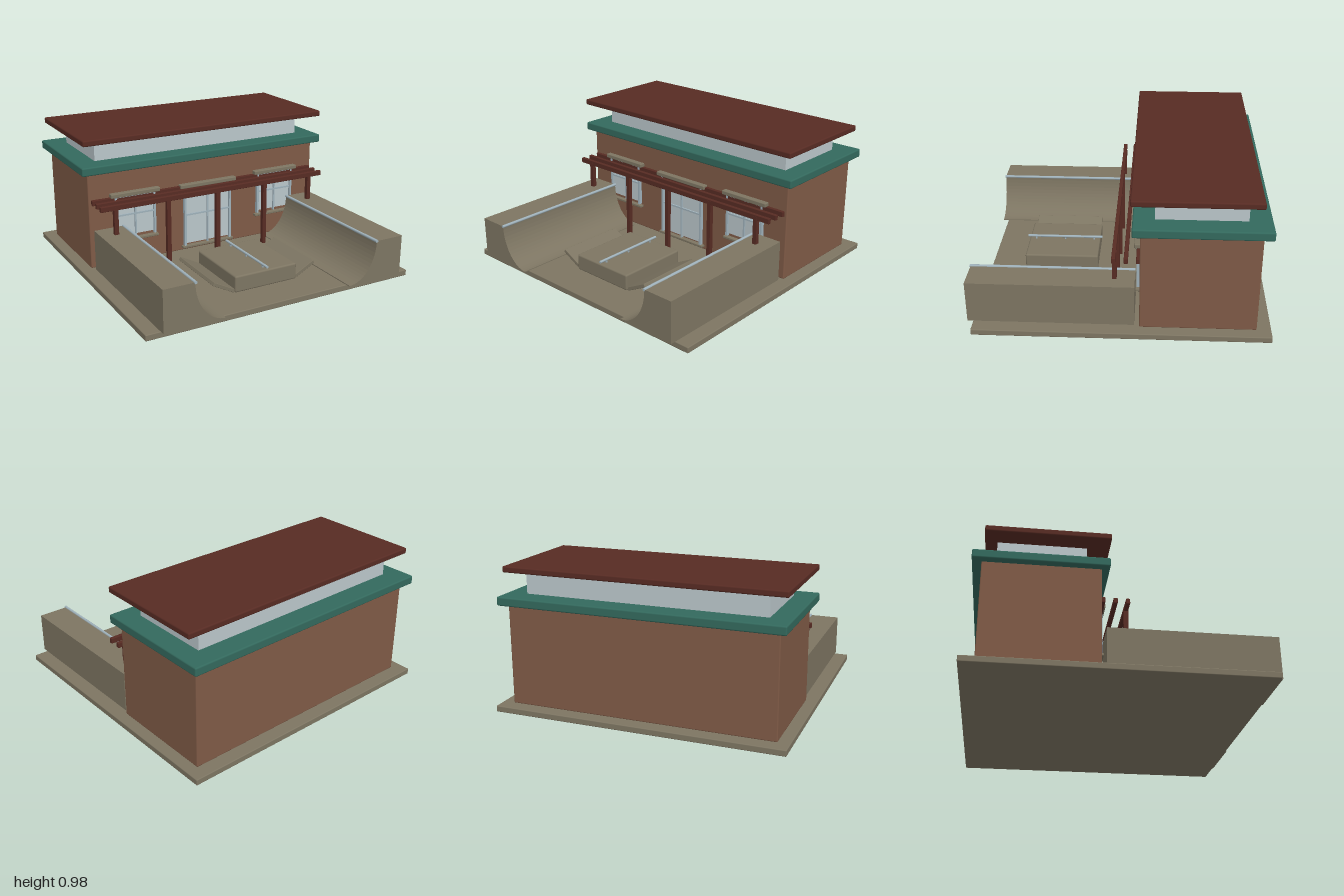
import * as THREE from 'three';
import { RoundedBoxGeometry } from 'three/addons/geometries/RoundedBoxGeometry.js';

const material = (name, color, options = {}) => {
  const m = new THREE.MeshStandardMaterial({ color, ...options });
  m.name = name;
  return m;
};

export function createModel() {
  const concrete = material('concrete', 0x7d7562);
  const brick = material('brick', 0x7f5a46);
  const teal = material('teal trim', 0x33695d);
  const redwood = material('dark red', 0x572b23);
  const glass = material('glass', 0xbac6ca);
  const metal = material('pale metal', 0x9fb1ba);

  const model = new THREE.Group();
  model.name = 'skateClubhouse';

  const add = (name, geometry, mat, parent = model) => {
    const mesh = new THREE.Mesh(geometry, mat);
    mesh.name = name;
    parent.add(mesh);
    return mesh;
  };
  // Box given by its limits; a radius rounds the edges
  const box = (name, mat, [x0, x1], [y0, y1], [z0, z1], radius = 0, parent = model) => {
    const size = [x1 - x0, y1 - y0, z1 - z0];
    const geometry = radius
      ? new RoundedBoxGeometry(...size, 2, radius)
      : new THREE.BoxGeometry(...size);
    const mesh = add(name, geometry, mat, parent);
    mesh.position.set((x0 + x1) / 2, (y0 + y1) / 2, (z0 + z1) / 2);
    return mesh;
  };
  // Round rod running along z
  const rod = (name, mat, x, y, z0, z1, r) => {
    const mesh = add(name, new THREE.CylinderGeometry(r, r, z1 - z0, 12), mat);
    mesh.rotation.x = Math.PI / 2;
    mesh.position.set(x, y, (z0 + z1) / 2);
  };

  // Ground slab and building
  box('groundSlab', concrete, [-1, 1], [0, 0.042], [-0.995, 0.95], 0.006);
  box('brickWalls', brick, [-0.92, 0.92], [0.04, 0.74], [-0.9, -0.14], 0.008);
  box('tealCornice', teal, [-0.97, 0.97], [0.73, 0.79], [-0.96, -0.09], 0.01);
  box('clerestory', glass, [-0.828, 0.828], [0.785, 0.945], [-0.81, -0.23]);
  box('roof', redwood, [-0.96, 0.96], [0.938, 0.98], [-0.89, -0.08], 0.01);

  // Glazed opening: pane, frame, cross bars, lintel and sill
  const opening = (name, x, halfWidth, y0, y1, transom, lintelHalf, lintelY, sillY) => {
    const g = new THREE.Group();
    g.name = name;
    g.position.x = x;
    model.add(g);
    const w = halfWidth, b = 0.016;
    box('pane', glass, [-w, w], [y0 + 0.015, y1], [-0.145, -0.132], 0, g);
    for (const s of [-1, 1]) {
      box('jamb', metal, [s * w - b / 2, s * w + b / 2], [y0, y1], [-0.145, -0.115], 0, g);
    }
    box('head', metal, [-w, w], [y1 - b, y1], [-0.145, -0.115], 0, g);
    box('mullion', metal, [-0.006, 0.006], [y0, y1], [-0.14, -0.12], 0, g);
    box('transom', metal, [-w, w], [transom - 0.006, transom + 0.006], [-0.14, -0.12], 0, g);
    box('lintel', concrete, [-lintelHalf, lintelHalf], [lintelY, lintelY + 0.03], [-0.145, -0.1], 0.006, g);
    box('sill', concrete, [-w - 0.025, w + 0.025], [sillY, sillY + 0.018], [-0.145, -0.108], 0.004, g);
  };
  opening('leftWindow', 0.58, 0.148, 0.23, 0.55, 0.4, 0.187, 0.54, 0.205);
  opening('rightWindow', -0.58, 0.148, 0.23, 0.55, 0.4, 0.187, 0.54, 0.205);
  opening('glassDoors', 0, 0.187, 0.075, 0.54, 0.315, 0.23, 0.525, 0.06);

  // Pergola
  for (const x of [-0.79, -0.395, 0, 0.395, 0.79]) {
    box('pergolaPost', redwood, [x - 0.015, x + 0.015], [0.04, 0.53], [0.011, 0.041]);
  }
  for (const z of [0.027, -0.052, -0.13]) {
    box('pergolaBeam', redwood, [-0.9, 0.9], [0.505, 0.542], [z - 0.013, z + 0.013], 0.004);
  }

  // Quarter pipes: deck with an elliptical transition, extruded along z
  for (const s of [-1, 1]) {
    const profile = new THREE.Shape();
    profile.moveTo(s * 0.9, 0.042);
    profile.lineTo(s * 0.9, 0.33);
    profile.lineTo(s * 0.685, 0.33);
    for (let i = 1; i <= 16; i++) {
      const a = (i / 16) * Math.PI / 2;
      profile.lineTo(s * (0.475 + 0.21 * Math.cos(a)), 0.33 - 0.282 * Math.sin(a));
    }
    profile.lineTo(s * 0.475, 0.042);
    const geometry = new THREE.ExtrudeGeometry(profile, { depth: 1.095, bevelEnabled: false });
    add(s > 0 ? 'leftQuarterPipe' : 'rightQuarterPipe', geometry, concrete).position.z = -0.107;
    rod('coping', metal, s * 0.683, 0.33, -0.107, 0.993, 0.01);
  }

  // Centre box with tilted side slabs and a grind rail
  box('funBox', concrete, [-0.24, 0.24], [0.04, 0.156], [0.177, 0.7], 0.012);
  for (const s of [-1, 1]) {
    const slab = box('sideRamp', concrete, [-0.1, 0.1], [-0.0125, 0.0125], [0.188, 0.687], 0.003);
    slab.position.set(s * 0.305, 0.085, 0.4375);
    slab.rotation.z = s * 0.48;
  }
  rod('grindRail', metal, 0, 0.178, 0.16, 0.71, 0.009);
  for (const z of [0.22, 0.435, 0.65]) {
    box('railFoot', metal, [-0.005, 0.005], [0.15, 0.178], [z - 0.005, z + 0.005]);
  }

  return model;
}
